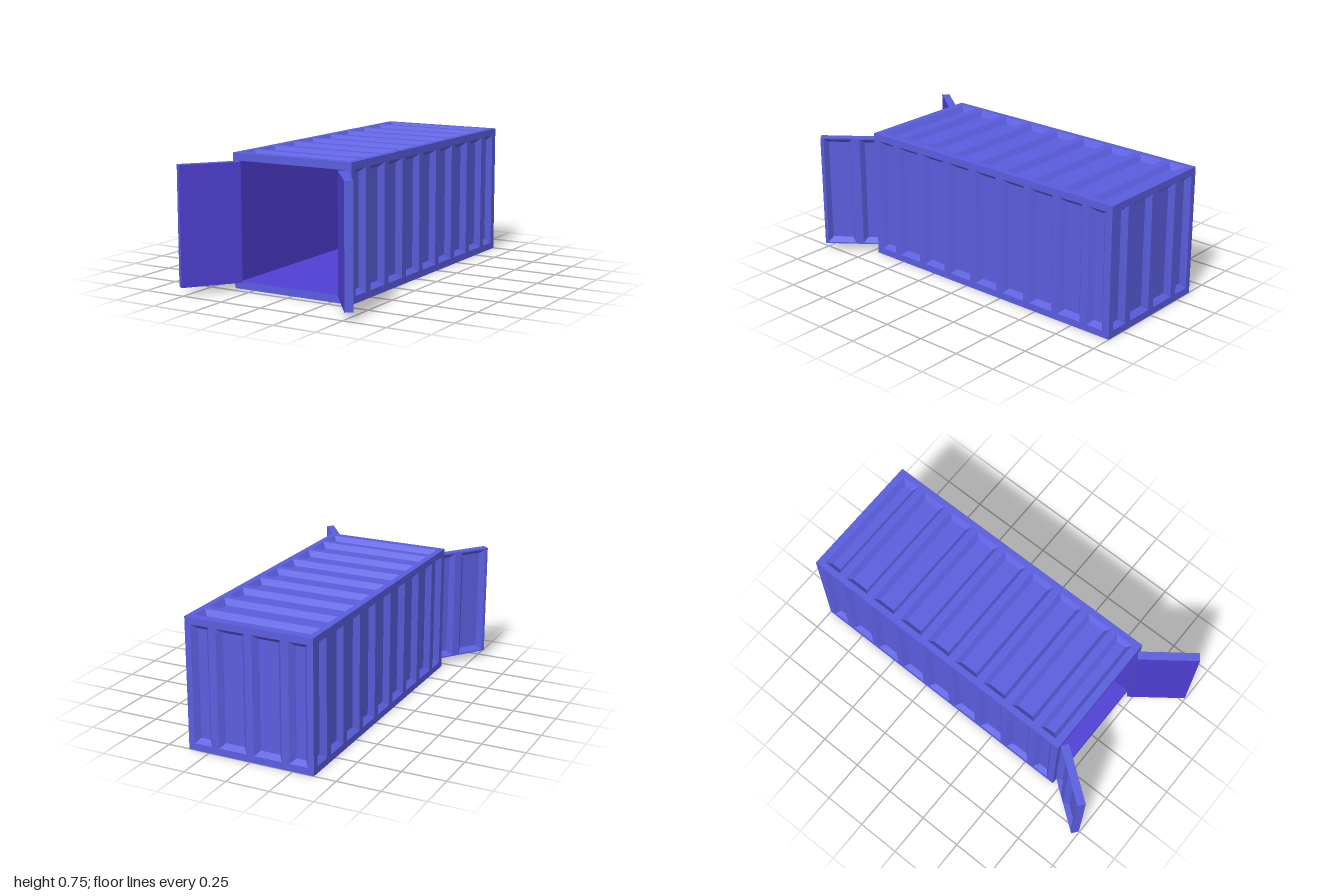
import * as THREE from 'three';

const W = 0.745, H = 0.75, L = 1.705;          // container body
const ZC = -1 + L / 2, WALL = 0.04, GAP = 0.045;
const DEPTH = 0.03, BEVEL = 0.025;             // pressed panel recesses
const DOOR_L = 0.339, DOOR_H = 0.664, DOOR_T = 0.046;

// Positions of a row of recesses, as [start, end] pairs
function row(widths, start) {
  let at = start;
  return widths.map((w) => {
    const span = [at, at + w];
    at += w + GAP;
    return span;
  });
}

// Flat sheet facing +z with bevelled recesses at the given spans along x
function pressedSheet(x0, x1, h, spans, margin) {
  const shape = new THREE.Shape();
  shape.moveTo(x0, -h / 2).lineTo(x1, -h / 2).lineTo(x1, h / 2).lineTo(x0, h / 2).closePath();
  const pos = [];
  const quad = (a, b, c, d) => pos.push(...a, ...b, ...c, ...a, ...c, ...d);
  const y = h / 2 - margin;
  for (const [a, b] of spans) {
    const hole = new THREE.Path();
    hole.moveTo(a, -y).lineTo(a, y).lineTo(b, y).lineTo(b, -y).closePath();
    shape.holes.push(hole);
    const rim = [[a, -y, 0], [b, -y, 0], [b, y, 0], [a, y, 0]];
    const i = BEVEL, j = y - BEVEL;
    const bed = [[a + i, -j, -DEPTH], [b - i, -j, -DEPTH], [b - i, j, -DEPTH], [a + i, j, -DEPTH]];
    quad(...bed);
    for (let k = 0; k < 4; k++) {
      const n = (k + 1) % 4;
      quad(rim[k], rim[n], bed[n], bed[k]);
    }
  }
  const face = new THREE.ShapeGeometry(shape).toNonIndexed();
  pos.push(...face.attributes.position.array);
  const g = new THREE.BufferGeometry();
  g.setAttribute('position', new THREE.Float32BufferAttribute(pos, 3));
  g.computeVertexNormals();
  return g;
}

// Box without some faces (order +x -x +y -y +z -z), optionally turned inside out
function openBox(w, h, d, dropped, inward = false) {
  const g = new THREE.BoxGeometry(w, h, d);
  const index = [];
  for (let f = 0; f < 6; f++) {
    if (dropped.includes(f)) continue;
    const part = Array.from(g.index.array.slice(f * 6, f * 6 + 6));
    index.push(...(inward ? part.reverse() : part));
  }
  g.clearGroups();
  g.setIndex(index);
  g.computeVertexNormals();
  return g;
}

export function createModel() {
  const model = new THREE.Group();
  model.name = 'shippingContainer';
  const outer = new THREE.MeshStandardMaterial({ color: 0x5a5ede });
  outer.name = 'outer blue';
  const inner = new THREE.MeshStandardMaterial({ color: 0x503fd4 });
  inner.name = 'inner violet';

  const add = (parent, name, geometry, material, p = [0, 0, 0], r = [0, 0, 0]) => {
    const m = new THREE.Mesh(geometry, material);
    m.name = name;
    m.position.set(...p);
    m.rotation.set(...r);
    parent.add(m);
    return m;
  };

  // Long walls and roof share the same rhythm of recesses
  const longSpans = row([0.105, ...Array(7).fill(0.15), 0.105], -0.81);
  const wall = pressedSheet(-L / 2, L / 2, H, longSpans, WALL);
  const roof = pressedSheet(-L / 2, L / 2, W, longSpans, 0.035);
  const q = Math.PI / 2;
  add(model, 'leftWall', wall, outer, [W / 2, H / 2, ZC], [0, q, 0]);
  add(model, 'rightWall', wall, outer, [-W / 2, H / 2, ZC], [0, -q, 0]);
  add(model, 'roof', roof, outer, [0, H, ZC], [-q, 0, q]);

  // Back wall with four recesses
  const backSpans = row([0.105, 0.165, 0.165, 0.105], -0.3375);
  add(model, 'backWall', pressedSheet(-W / 2, W / 2, H, backSpans, WALL), outer,
    [0, H / 2, -1], [0, Math.PI, 0]);

  // Underside with one large recess
  const base = pressedSheet(-L / 2, L / 2, W, [[-L / 2 + WALL, L / 2 - WALL]], WALL);
  add(model, 'underside', base, outer, [0, 0, ZC], [q, 0, q]);

  // Front frame around the doorway
  const x = W / 2, ox = 0.335, oy0 = 0.042, oy1 = 0.708;
  const frame = new THREE.Shape();
  frame.moveTo(-x, 0).lineTo(x, 0).lineTo(x, H).lineTo(-x, H).closePath();
  const doorway = new THREE.Path();
  doorway.moveTo(-ox, oy0).lineTo(-ox, oy1).lineTo(ox, oy1).lineTo(ox, oy0).closePath();
  frame.holes.push(doorway);
  add(model, 'frontFrame', new THREE.ShapeGeometry(frame), outer, [0, 0, -1 + L]);

  // Interior lining, open at the front
  const innerL = L - WALL;
  add(model, 'interior', openBox(2 * ox, oy1 - oy0, innerL, [4], true), inner,
    [0, (oy0 + oy1) / 2, -1 + L - innerL / 2]);

  // Two open doors, swung about their hinges
  for (const side of [1, -1]) {
    const door = new THREE.Group();
    door.name = side > 0 ? 'leftDoor' : 'rightDoor';
    const spans = row([0.105, 0.165], 0.006)
      .map(([a, b]) => (side > 0 ? [-b, -a] : [a, b]));
    const x0 = side > 0 ? -DOOR_L : 0;
    const mid = x0 + DOOR_L / 2;
    add(door, 'doorOuterFace', pressedSheet(x0, x0 + DOOR_L, DOOR_H, spans, 0.008), outer);
    add(door, 'doorEdges', openBox(DOOR_L, DOOR_H, DOOR_T, [4, 5]), outer, [mid, 0, -DOOR_T / 2]);
    add(door, 'doorInnerFace', new THREE.PlaneGeometry(DOOR_L, DOOR_H), inner,
      [mid, 0, -DOOR_T], [0, Math.PI, 0]);
    door.position.set(side * 0.342, 0.375, 0.702);
    door.rotation.y = side * 2.22;
    model.add(door);
  }
  return model;
}
